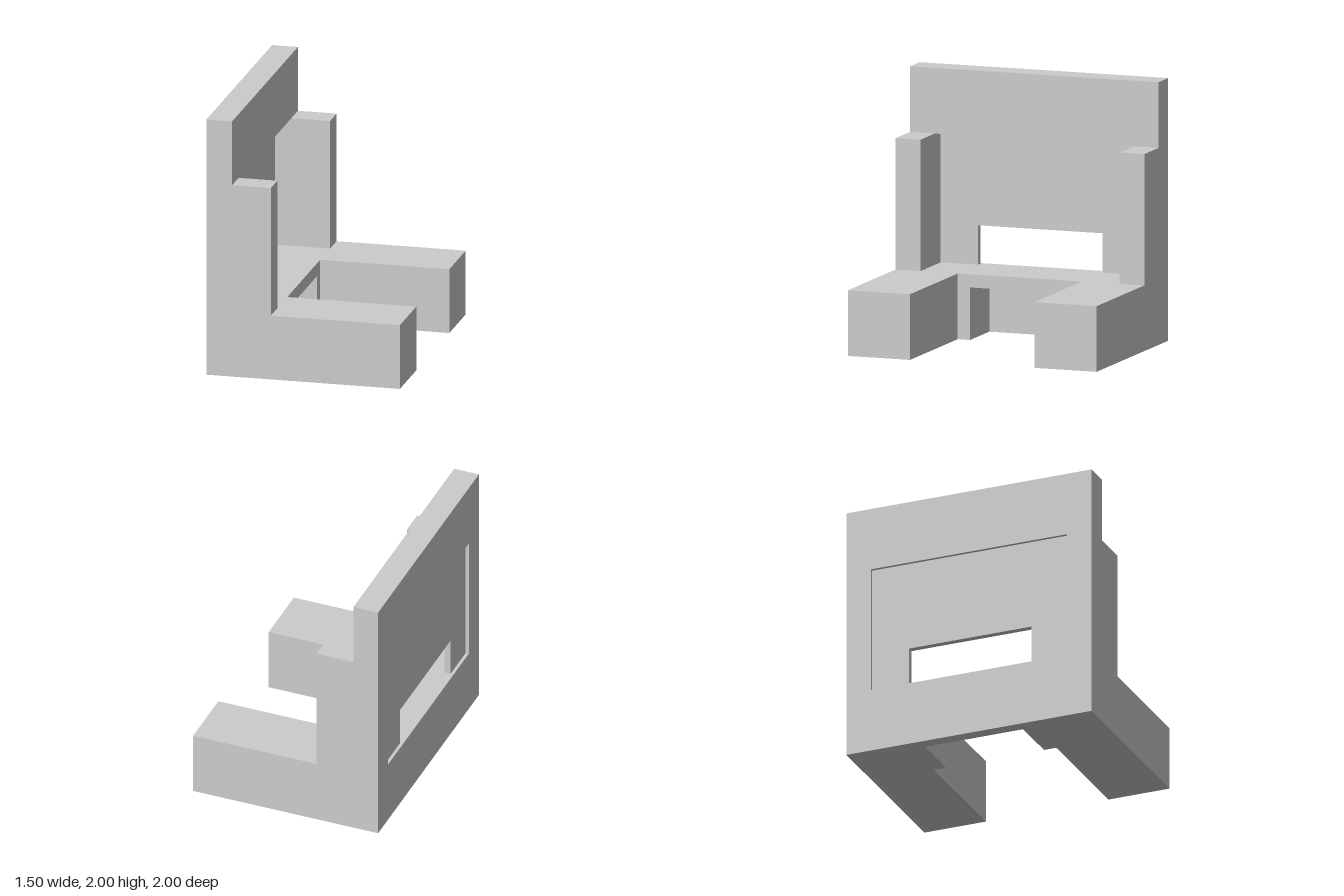
import * as THREE from 'three';

const material = new THREE.MeshStandardMaterial({ color: 0xcccccc, flatShading: true });

// Mirrors a half outline across its second axis and closes it.
function mirroredShape(half) {
  const other = half.map(([a, b]) => [a, -b]).reverse();
  return new THREE.Shape([...half, ...other].map(([a, b]) => new THREE.Vector2(a, b)));
}

function extrude(shape, depth) {
  return new THREE.ExtrudeGeometry(shape, { depth, bevelEnabled: false });
}

export function createModel() {
  const group = new THREE.Group();
  const add = (name, geometry, x = 0, y = 0, z = 0) => {
    const mesh = new THREE.Mesh(geometry, material);
    mesh.name = name;
    mesh.position.set(x, y, z);
    group.add(mesh);
  };

  // U-shaped base: the lower layer has a pocket cut behind the notch, the upper layer roofs it
  const outer = [[-0.75, -1], [0.75, -1], [0.75, -0.5], [-0.25, -0.5]];
  const pocket = [[-0.25, -0.4], [-0.65, -0.4]];
  const lower = mirroredShape([...outer, ...pocket]);
  add('baseLower', extrude(lower, 0.4).rotateX(-Math.PI / 2));
  add('baseUpper', extrude(mirroredShape(outer), 0.1).rotateX(-Math.PI / 2), 0, 0.4);

  // Upright wall framing a wide opening (outline runs along z and y, extruded along x)
  const wallOutline = [[-1, 0.5], [-0.8, 0.5], [-0.8, 1.5], [0.8, 1.5], [0.8, 0.5], [1, 0.5], [1, 2], [-1, 2]];
  const panelOutline = [[-0.8, 0.5], [-0.5, 0.5], [-0.5, 0.8], [0.5, 0.8], [0.5, 0.5], [0.8, 0.5], [0.8, 1.5], [-0.8, 1.5]];
  const upright = (points, depth) =>
    extrude(new THREE.Shape(points.map(([a, b]) => new THREE.Vector2(a, b))), depth).rotateY(Math.PI / 2);
  add('wallFrame', upright(wallOutline, 0.2), -0.75);

  // Thin panel set into the opening, with a slot above the base
  add('insetPanel', upright(panelOutline, 0.05), -0.725);

  // Side posts in front of the wall
  for (const side of [-1, 1]) {
    add(side > 0 ? 'frontPost' : 'backPost', new THREE.BoxGeometry(0.3, 1, 0.2), -0.4, 1, side * 0.9);
  }
  return group;
}
